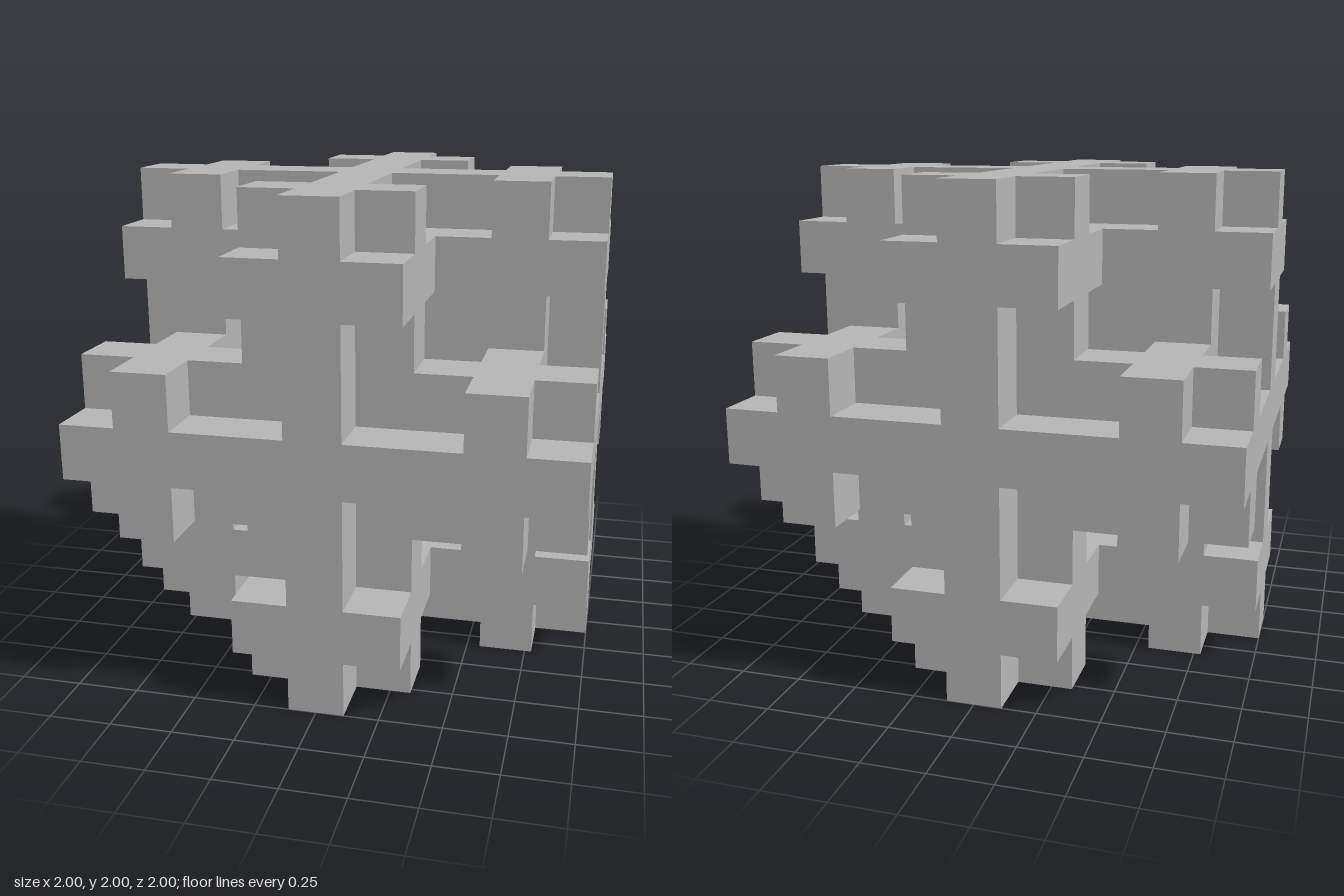
import * as THREE from 'three';
import { mergeGeometries } from 'three/addons/utils/BufferGeometryUtils.js';

const LEVELS = 2;
const N = 3 ** LEVELS; // cells along each side
const CELL = 2 / N;

// A cell is filled unless it lies in a corner of its 3x3x3 block at any level
function filled(i, j, k) {
  const cell = [i, j, k];
  if (cell.some((c) => c < 0 || c >= N)) return false;
  for (let level = 0, step = 1; level < LEVELS; level++, step *= 3) {
    if (cell.every((c) => Math.floor(c / step) % 3 !== 1)) return false;
  }
  return true;
}

// One square facing each axis direction, set on the side of a unit cell
function makeSides() {
  const h = Math.PI / 2;
  return [
    { dir: [0, 0, 1], rot: [0, 0] },
    { dir: [0, 0, -1], rot: [0, Math.PI] },
    { dir: [1, 0, 0], rot: [0, h] },
    { dir: [-1, 0, 0], rot: [0, -h] },
    { dir: [0, 1, 0], rot: [-h, 0] },
    { dir: [0, -1, 0], rot: [h, 0] },
  ].map(({ dir, rot }) => {
    const square = new THREE.PlaneGeometry(CELL, CELL);
    square.rotateX(rot[0]).rotateY(rot[1]);
    square.translate(...dir.map((d) => (d * CELL) / 2));
    return { dir, square };
  });
}

export function createModel() {
  const model = new THREE.Group();
  model.name = 'fractalCube';

  const grey = new THREE.MeshStandardMaterial({ color: 0xb4b4b4 });
  grey.name = 'grey';

  // Keep only the cell sides that border an empty cell
  const sides = makeSides();
  const faces = [];
  const centre = (c) => (c + 0.5) * CELL - 1;
  for (let i = 0; i < N; i++) {
    for (let j = 0; j < N; j++) {
      for (let k = 0; k < N; k++) {
        if (!filled(i, j, k)) continue;
        for (const { dir, square } of sides) {
          if (filled(i + dir[0], j + dir[1], k + dir[2])) continue;
          faces.push(square.clone().translate(centre(i), centre(j) + 1, centre(k)));
        }
      }
    }
  }

  const lattice = new THREE.Mesh(mergeGeometries(faces), grey);
  lattice.name = 'snowflakeLattice';
  model.add(lattice);
  return model;
}
